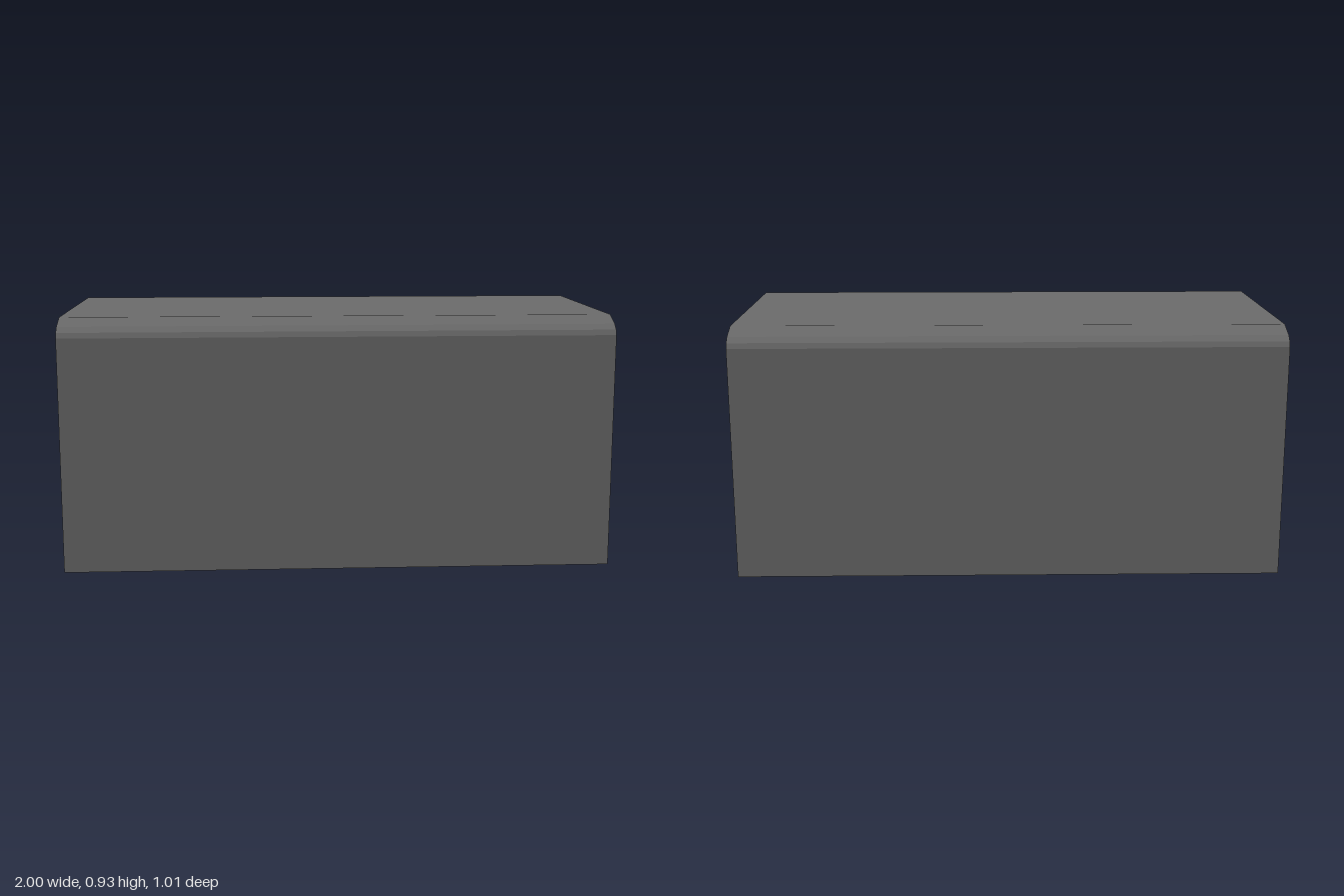
import * as THREE from 'three';

export function createModel() {
  const group = new THREE.Group();
  group.name = 'tunnelCover';

  // Half of the bevelled outer outline, as [across, up]
  const corner = [[0.505, 0.01], [0.505, 0.865], [0.497, 0.884], [0.475, 0.903], [0.405, 0.93]];
  const mirrored = corner.map(([a, y]) => [-a, y]).reverse();
  // Opening, slightly off centre (across = -z)
  const opening = [[-0.347, 0.01], [-0.347, 0.79], [0.32, 0.79], [0.32, 0.01]];

  // Channel shell, open at both ends and below
  const shape = new THREE.Shape(
    [...corner, ...mirrored, ...opening].map(([a, y]) => new THREE.Vector2(a, y))
  );
  const shellGeometry = new THREE.ExtrudeGeometry(shape, { depth: 2, bevelEnabled: false });
  shellGeometry.translate(0, 0, -1).rotateY(Math.PI / 2);
  const shell = new THREE.Mesh(
    shellGeometry,
    new THREE.MeshStandardMaterial({ color: 0x6a6a6a, flatShading: true })
  );
  shell.name = 'shell';
  group.add(shell);

  // Dark one-sided panel closing the passage, facing +x
  const panelGeometry = new THREE.PlaneGeometry(0.85, 0.85);
  panelGeometry.rotateY(Math.PI / 2).translate(0.79, 0.428, 0);
  const panel = new THREE.Mesh(panelGeometry, new THREE.MeshStandardMaterial({ color: 0x000000 }));
  panel.name = 'darkPanel';
  group.add(panel);

  return group;
}
